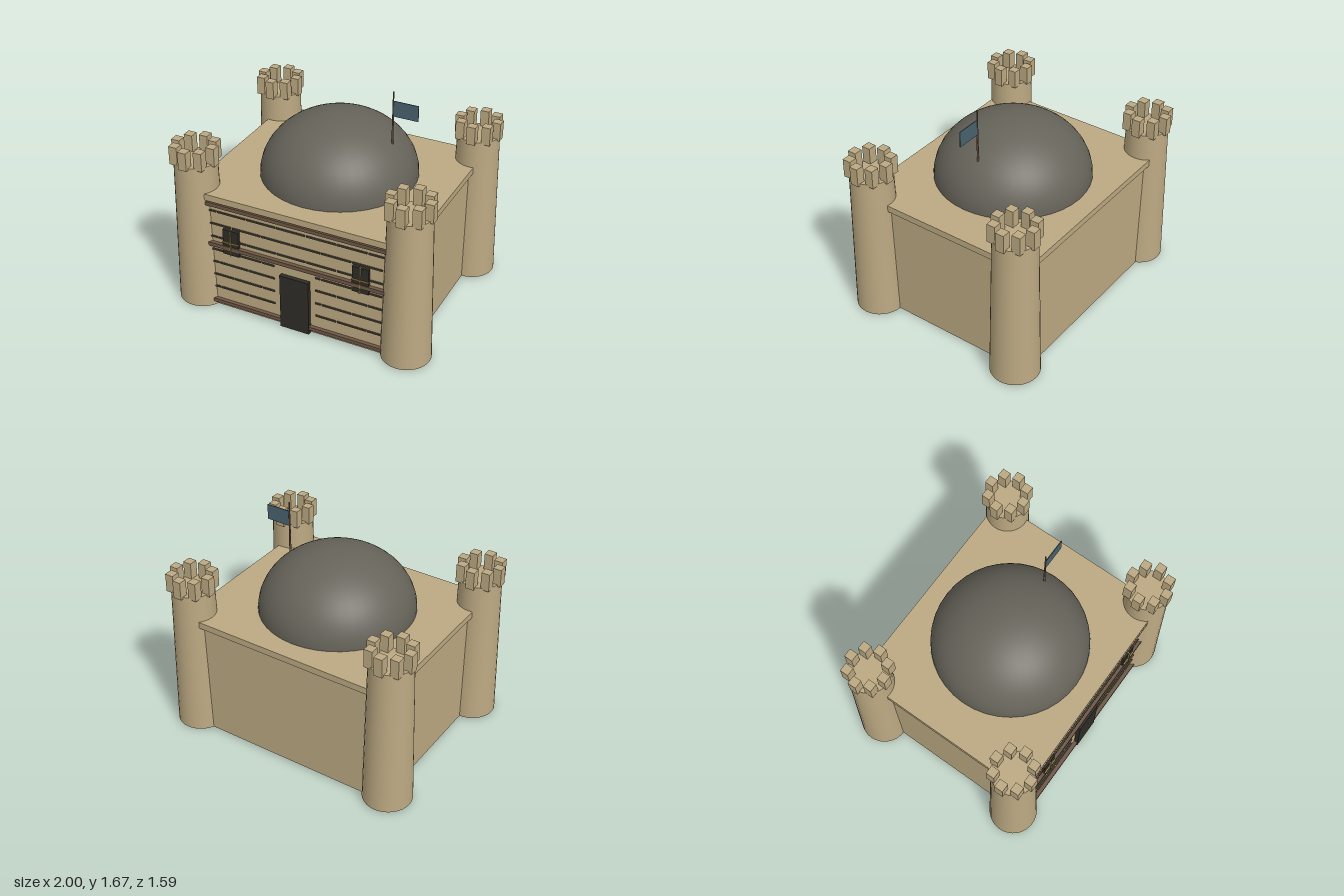
import * as THREE from 'three';

const paint = (color) => new THREE.MeshStandardMaterial({ color });

export function createModel() {
  const model = new THREE.Group();
  const stone = paint(0xbca982), domeStone = paint(0x66645a), wood = paint(0x6e5745);
  const dark = paint(0x2e2c27), mortar = paint(0x4c4639), brass = paint(0x9a8148), cloth = paint(0x4a626e);

  const add = (name, geometry, material, x, y, z, parent = model) => {
    const mesh = new THREE.Mesh(geometry, material);
    mesh.name = name;
    mesh.position.set(x, y, z);
    parent.add(mesh);
    return mesh;
  };
  // Box given by its lower and upper corners
  const box = (name, material, [x0, y0, z0], [x1, y1, z1], parent) =>
    add(name, new THREE.BoxGeometry(x1 - x0, y1 - y0, z1 - z0), material,
      (x0 + x1) / 2, (y0 + y1) / 2, (z0 + z1) / 2, parent);

  // Main block and overhanging roof slab
  box('walls', stone, [-0.82, 0.01, -0.69], [0.82, 0.91, 0.69]);
  box('roofSlab', stone, [-0.85, 0.905, -0.72], [0.85, 0.955, 0.72]);

  // Flattened dome
  const domeGeometry = new THREE.SphereGeometry(0.573, 40, 20, 0, Math.PI * 2, 0, Math.PI / 2);
  domeGeometry.scale(1, 0.46 / 0.573, 1);
  add('dome', domeGeometry, domeStone, 0, 0.955, 0);

  // Corner towers, each with a ring of eight merlons
  const shaft = new THREE.CylinderGeometry(0.155, 0.18, 1.15, 32);
  const merlon = new THREE.BoxGeometry(0.065, 0.14, 0.065);
  for (const sx of [-1, 1]) for (const sz of [-1, 1]) {
    const tower = new THREE.Group();
    tower.name = 'cornerTower';
    tower.position.set(sx * 0.82, 0, sz * 0.615);
    add('towerShaft', shaft, stone, 0, 0.585, 0, tower);
    for (let i = 0; i < 8; i++) {
      const a = (i * Math.PI) / 4;
      add('merlon', merlon, stone, Math.cos(a) * 0.14, 1.215, Math.sin(a) * 0.14, tower);
    }
    model.add(tower);
  }

  // Runners under the two sides
  for (const s of [-1, 1]) {
    box('baseRunner', wood, [s * 0.79 - 0.02, 0, -0.71], [s * 0.79 + 0.02, 0.012, 0.71]);
  }

  // Wooden bands across the front
  for (const [y0, y1] of [[0.043, 0.07], [0.53, 0.56], [0.865, 0.893]]) {
    box('woodBand', wood, [-0.76, y0, 0.68], [0.76, y1, 0.719]);
  }

  // Door
  box('door', dark, [-0.115, 0.005, 0.68], [0.113, 0.445, 0.722]);

  // Windows with crossed bars
  for (const s of [-1, 1]) {
    const x = s * 0.508;
    box('window', dark, [x - 0.063, 0.49, 0.68], [x + 0.063, 0.695, 0.712]);
    box('windowBar', brass, [x - 0.004, 0.49, 0.7], [x + 0.004, 0.695, 0.724]);
    box('windowBar', brass, [x - 0.063, 0.588, 0.7], [x + 0.063, 0.596, 0.724]);
  }

  // Staggered mortar dashes, broken off beside the door on the lower rows
  [0.17, 0.277, 0.386, 0.493, 0.602, 0.71, 0.817].forEach((y, row) => {
    const shift = row % 2 ? 0.115 : 0;
    for (let i = -4; i <= 3; i++) {
      let x0 = Math.max(-0.72, i * 0.235 + shift + 0.09);
      let x1 = Math.min(0.72, i * 0.235 + shift + 0.315);
      if (row < 4) {
        if (x0 + x1 < 0) x1 = Math.min(x1, -0.17);
        else x0 = Math.max(x0, 0.155);
      }
      if (x1 - x0 > 0.015) box('mortarDash', mortar, [x0, y - 0.006, 0.685], [x1, y + 0.006, 0.699]);
    }
  });

  // Flagpole standing on the dome, with its flag
  add('flagpole', new THREE.CylinderGeometry(0.005, 0.008, 0.425, 8), wood, 0.408, 1.4625, 0);
  box('flag', cloth, [0.41, 1.487, -0.003], [0.597, 1.605, 0.003]);

  return model;
}
